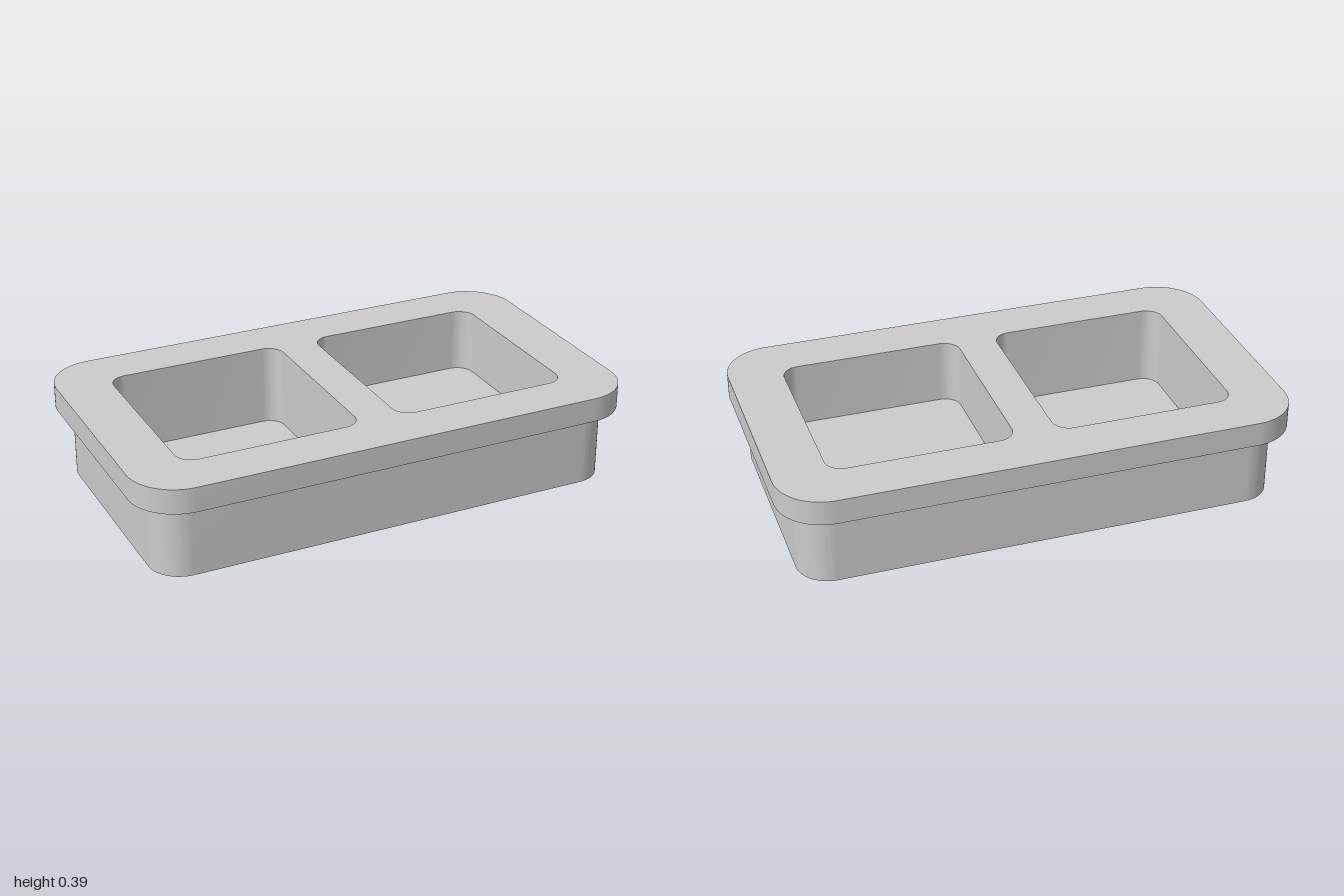
import * as THREE from 'three';
import { toCreasedNormals } from 'three/addons/utils/BufferGeometryUtils.js';

const SEGMENTS = 12;
const LEDGE = 0.2905, TOP = 0.3875;

// Rounded rectangle, drawn counter-clockwise; shape y points to -z
function roundedRect(cx, halfW, halfD, r) {
  const s = new THREE.Shape();
  const x = halfW - r, y = halfD - r;
  s.absarc(cx + x, y, r, 0, Math.PI / 2);
  s.absarc(cx - x, y, r, Math.PI / 2, Math.PI);
  s.absarc(cx - x, -y, r, Math.PI, Math.PI * 1.5);
  s.absarc(cx + x, -y, r, Math.PI * 1.5, Math.PI * 2);
  s.closePath();
  return s;
}

function withHoles(shape, holes) {
  const s = shape.clone();
  s.holes = holes;
  return s;
}

// Horizontal face at height y, facing up or down
function capGeometry(shape, y, up) {
  const g = new THREE.ShapeGeometry(shape, SEGMENTS);
  g.rotateX(-Math.PI / 2);
  g.translate(0, y, 0);
  if (!up) {
    g.setIndex(Array.from(g.index.array).reverse());
    g.computeVertexNormals();
  }
  return g;
}

// Vertical wall along an outline, facing outward or (for pockets) inward
function wallGeometry(shape, y0, y1, inward = false) {
  const pts = shape.getPoints(SEGMENTS);
  if (inward) pts.reverse();
  const v = [];
  for (let i = 0; i < pts.length; i++) {
    const a = pts[i], b = pts[(i + 1) % pts.length];
    if (a.distanceTo(b) < 1e-5) continue;
    v.push(a.x, y0, -a.y, b.x, y0, -b.y, b.x, y1, -b.y);
    v.push(a.x, y0, -a.y, b.x, y1, -b.y, a.x, y1, -a.y);
  }
  const g = new THREE.BufferGeometry();
  g.setAttribute('position', new THREE.Float32BufferAttribute(v, 3));
  return toCreasedNormals(g, 0.6);
}

export function createModel() {
  const model = new THREE.Group();
  model.name = 'doubleBasin';
  const grey = new THREE.MeshStandardMaterial({ name: 'grey', color: 0xcccccc });
  const add = (name, geometry) => {
    const mesh = new THREE.Mesh(geometry, grey);
    mesh.name = name;
    model.add(mesh);
  };

  const rim = roundedRect(0, 1, 0.581, 0.19);
  const body = roundedRect(0, 0.9355, 0.5165, 0.129);
  const drain = new THREE.Shape();
  drain.absarc(-0.404, 0.032, 0.053, 0, Math.PI * 2);

  // The deeper pocket has a drain through its floor
  const pockets = [
    { name: 'deepPocket', side: -1, floor: 0.065, holes: [drain] },
    { name: 'shallowPocket', side: 1, floor: 0.129, holes: [] },
  ].map((p) => ({ ...p, outline: roundedRect(p.side * 0.4355, 0.357, 0.387, 0.067) }));

  // Outer shell
  add('rimTop', capGeometry(withHoles(rim, pockets.map((p) => p.outline)), TOP, true));
  add('rimEdge', wallGeometry(rim, LEDGE, TOP));
  add('rimUnderside', capGeometry(withHoles(rim, [body]), LEDGE, false));
  add('bodyWall', wallGeometry(body, 0, LEDGE));
  add('bodyBottom', capGeometry(withHoles(body, [drain]), 0, false));

  // Pockets and drain
  for (const { name, outline, floor, holes } of pockets) {
    add(name + 'Wall', wallGeometry(outline, floor, TOP, true));
    add(name + 'Floor', capGeometry(withHoles(outline, holes), floor, true));
  }
  add('drainWall', wallGeometry(drain, 0, pockets[0].floor, true));
  return model;
}
